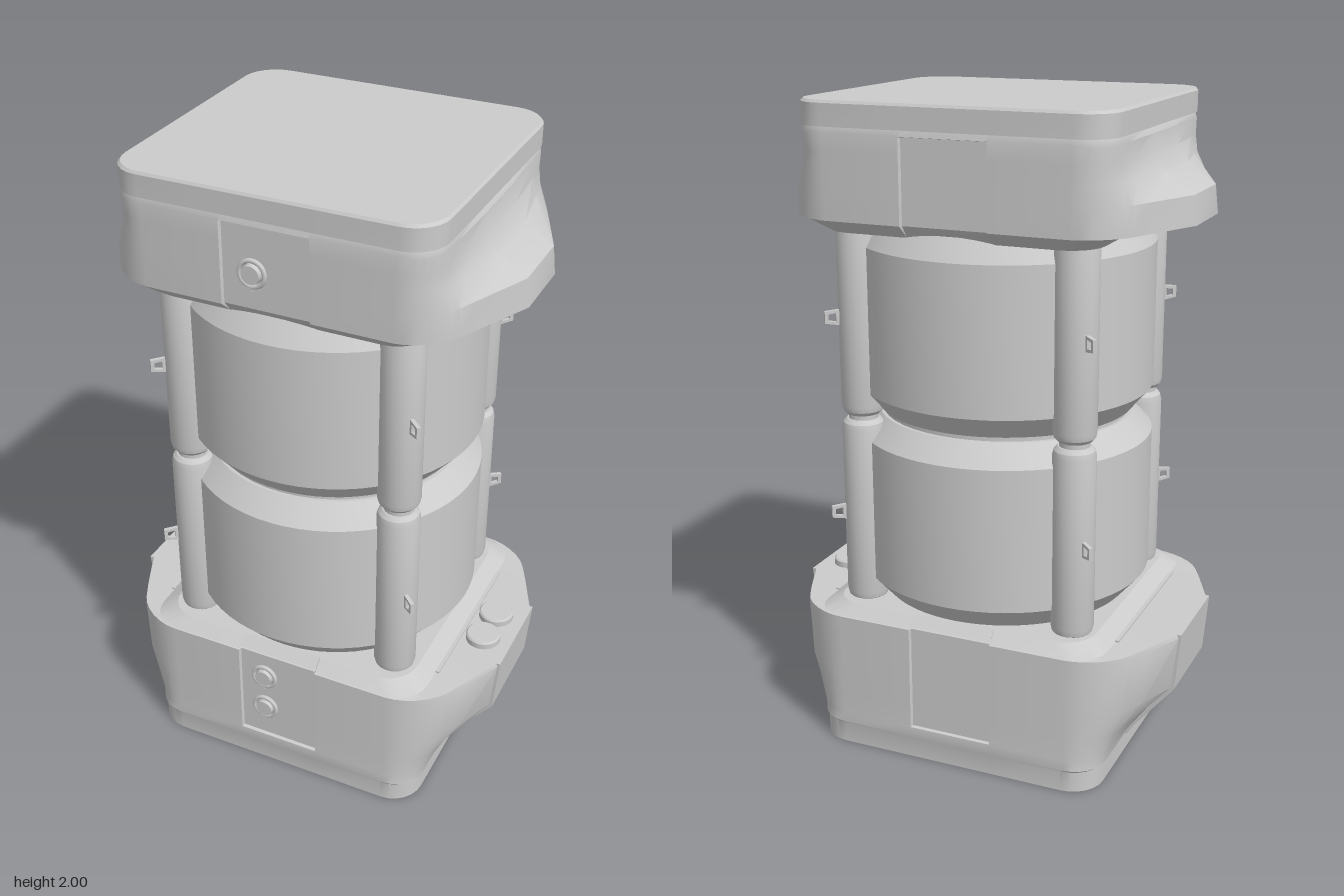
import * as THREE from 'three';
import { toCreasedNormals } from 'three/addons/utils/BufferGeometryUtils.js';

const material = new THREE.MeshStandardMaterial({ color: 0xcccccc });

function add(parent, name, geometry, x = 0, y = 0, z = 0) {
  const mesh = new THREE.Mesh(geometry, material);
  mesh.name = name;
  mesh.position.set(x, y, z);
  parent.add(mesh);
  return mesh;
}

// Rounded rectangle whose sides bulge outward by b between z = -flat and flat,
// with a shallow notch in the middle of front and back
function ring({ y, hx = 0.47, hz = 0.445, b = 0, notch = 0 }, flat, power) {
  const r = 0.1, quarter = [[hx, flat], [hx, 0.28]];
  for (let i = 0; i <= 6; i++) {
    const a = (i / 6) * Math.PI / 2;
    quarter.push([hx - r + r * Math.cos(a), hz - r + r * Math.sin(a)]);
  }
  const pts = quarter.map(([x, z]) => {
    const w = THREE.MathUtils.clamp((hz - z) / (hz - flat), 0, 1);
    return [x + b * Math.pow(w, power), z];
  });
  pts.push([0.133, hz], [0.13, hz - notch]);
  const half = [...pts, ...pts.map(([x, z]) => [-x, z]).reverse()];
  const full = [...half, ...half.map(([x, z]) => [x, -z]).reverse()];
  return full.map(([x, z]) => [x, y, z]);
}

// Skin between successive rings, closed at both ends
function loft(rows, flat = 0.155, power = 0.8) {
  const rings = rows.map((row) => ring(row, flat, power));
  const n = rings[0].length, pos = [];
  const tri = (...p) => p.forEach((v) => pos.push(...v));
  for (let i = 0; i < rings.length - 1; i++) {
    for (let j = 0; j < n; j++) {
      const k = (j + 1) % n;
      tri(rings[i][j], rings[i + 1][j], rings[i][k]);
      tri(rings[i][k], rings[i + 1][j], rings[i + 1][k]);
    }
  }
  const low = rings[0], high = rings[rings.length - 1];
  for (let j = 0; j < n; j++) {
    const k = (j + 1) % n;
    tri([0, low[0][1], 0], low[j], low[k]);
    tri([0, high[0][1], 0], high[k], high[j]);
  }
  const geo = new THREE.BufferGeometry();
  geo.setAttribute('position', new THREE.Float32BufferAttribute(pos, 3));
  return toCreasedNormals(geo, 0.45);
}

function lathe(points, segments) {
  const profile = points.map(([r, y]) => new THREE.Vector2(r, y));
  return toCreasedNormals(new THREE.LatheGeometry(profile, segments), 0.5);
}

function addPort(parent, x, y) {
  const port = new THREE.Group();
  port.name = 'port';
  port.position.set(x, y, 0.434);
  add(port, 'portRing', new THREE.TorusGeometry(0.038, 0.007, 8, 28), 0, 0, 0.008);
  add(port, 'portPlug', new THREE.CylinderGeometry(0.027, 0.03, 0.024, 24), 0, 0, 0.009).rotation.x = Math.PI / 2;
  add(port, 'portKey', new THREE.BoxGeometry(0.018, 0.014, 0.016), -0.008, -0.043, 0.006);
  parent.add(port);
}

export function createModel() {
  const model = new THREE.Group();
  model.name = 'canisterUnit';

  // Base with flared sides and recessed front and back panels
  add(model, 'base', loft([
    { y: 0, hx: 0.465 },
    { y: 0.064, hx: 0.465 },
    { y: 0.07, hx: 0.472, hz: 0.447 },
    { y: 0.1, b: 0.012 },
    { y: 0.102, b: 0.013, notch: 0.011 },
    { y: 0.17, b: 0.07, notch: 0.011 },
    { y: 0.25, b: 0.14, notch: 0.011 },
    { y: 0.42, b: 0.16, notch: 0.011 },
    { y: 0.432, b: 0.155, notch: 0.011 },
    { y: 0.433, b: 0, hz: 0.44, notch: 0.011 },
    { y: 0.465, hx: 0.42, hz: 0.405, notch: 0.008 },
  ]));

  // Side guards and trim strips
  const guard = new THREE.Shape([
    [0.45, 0.062], [0.475, 0.062], [0.5, 0.1], [0.622, 0.248], [0.638, 0.432], [0.56, 0.432], [0.45, 0.3],
  ].map(([x, y]) => new THREE.Vector2(x, y)));
  const guardGeo = new THREE.ExtrudeGeometry(guard, { depth: 0.31, bevelEnabled: false });
  guardGeo.translate(0, 0, -0.155);
  for (const side of [0, Math.PI]) {
    add(model, 'sideGuard', guardGeo).rotation.y = side;
    add(model, 'trimStrip', new THREE.BoxGeometry(0.012, 0.008, 0.55), side ? -0.475 : 0.475, 0.434, 0);
  }

  // Buttons on the left shoulder
  const button = lathe([[0, 0], [0.055, 0], [0.055, 0.02], [0.05, 0.025], [0, 0.025]], 28);
  for (const z of [-0.06, 0.06]) add(model, 'button', button, 0.545, 0.431, z);

  // Two stacked drums around a core
  add(model, 'core', new THREE.CylinderGeometry(0.385, 0.385, 1.2, 48), 0, 1.05, 0);
  add(model, 'lowerDrum', lathe(
    [[0, 0.455], [0.385, 0.455], [0.455, 0.535], [0.455, 0.98], [0.395, 1.045], [0, 1.045]], 64));
  add(model, 'upperDrum', lathe(
    [[0, 1.06], [0.395, 1.06], [0.455, 1.13], [0.455, 1.575], [0.415, 1.64], [0, 1.64]], 64));

  // Corner posts in two lengths, each with a tie loop
  const post = lathe(
    [[0, 0], [0.05, 0], [0.061, 0.012], [0.065, 0.03], [0.065, 0.56], [0.061, 0.578], [0.05, 0.59], [0, 0.59]], 24);
  const loopShape = new THREE.Shape([[0, -0.024], [0.046, -0.016], [0.046, 0.02], [0, 0.024]]
    .map(([x, y]) => new THREE.Vector2(x, y)));
  loopShape.holes.push(new THREE.Path([[0.012, -0.013], [0.012, 0.014], [0.035, 0.011], [0.035, -0.009]]
    .map(([x, y]) => new THREE.Vector2(x, y))));
  const loopGeo = new THREE.ExtrudeGeometry(loopShape, { depth: 0.012, bevelEnabled: false });
  loopGeo.translate(0.062, 0, -0.006);
  for (const sx of [-1, 1]) {
    for (const sz of [-1, 1]) {
      for (const [y, loopY] of [[0.455, 0.745], [1.06, 1.36]]) {
        add(model, 'cornerPost', post, sx * 0.343, y, sz * 0.305);
        add(model, 'tieLoop', loopGeo, sx * 0.343, loopY, sz * 0.305).rotation.y = Math.atan2(-sz * 0.66, sx * 0.75);
      }
      add(model, 'postNeck', new THREE.CylinderGeometry(0.045, 0.045, 0.06, 20), sx * 0.343, 1.052, sz * 0.305);
    }
  }

  // Head with flared sides, topped by a lid
  add(model, 'head', loft([
    { y: 1.625, hx: 0.42, hz: 0.4 },
    { y: 1.664, b: 0, notch: 0.011 },
    { y: 1.665, b: 0.152, notch: 0.011 },
    { y: 1.75, b: 0.142, notch: 0.011 },
    { y: 1.81, b: 0.055, notch: 0.011 },
    { y: 1.86, b: 0.025, notch: 0.011 },
    { y: 1.908, hx: 0.475, b: 0.008, notch: 0.011 },
    { y: 1.91, hx: 0.475, b: 0.008 },
    { y: 1.927, hx: 0.472, hz: 0.44 },
  ], 0.11, 1));
  add(model, 'lid', loft([
    { y: 1.927, hx: 0.478 },
    { y: 1.992, hx: 0.478 },
    { y: 2, hx: 0.472, hz: 0.44 },
  ]));

  // Front ports
  for (const [x, y] of [[-0.045, 0.35], [-0.045, 0.222], [-0.038, 1.773]]) addPort(model, x, y);

  return model;
}
